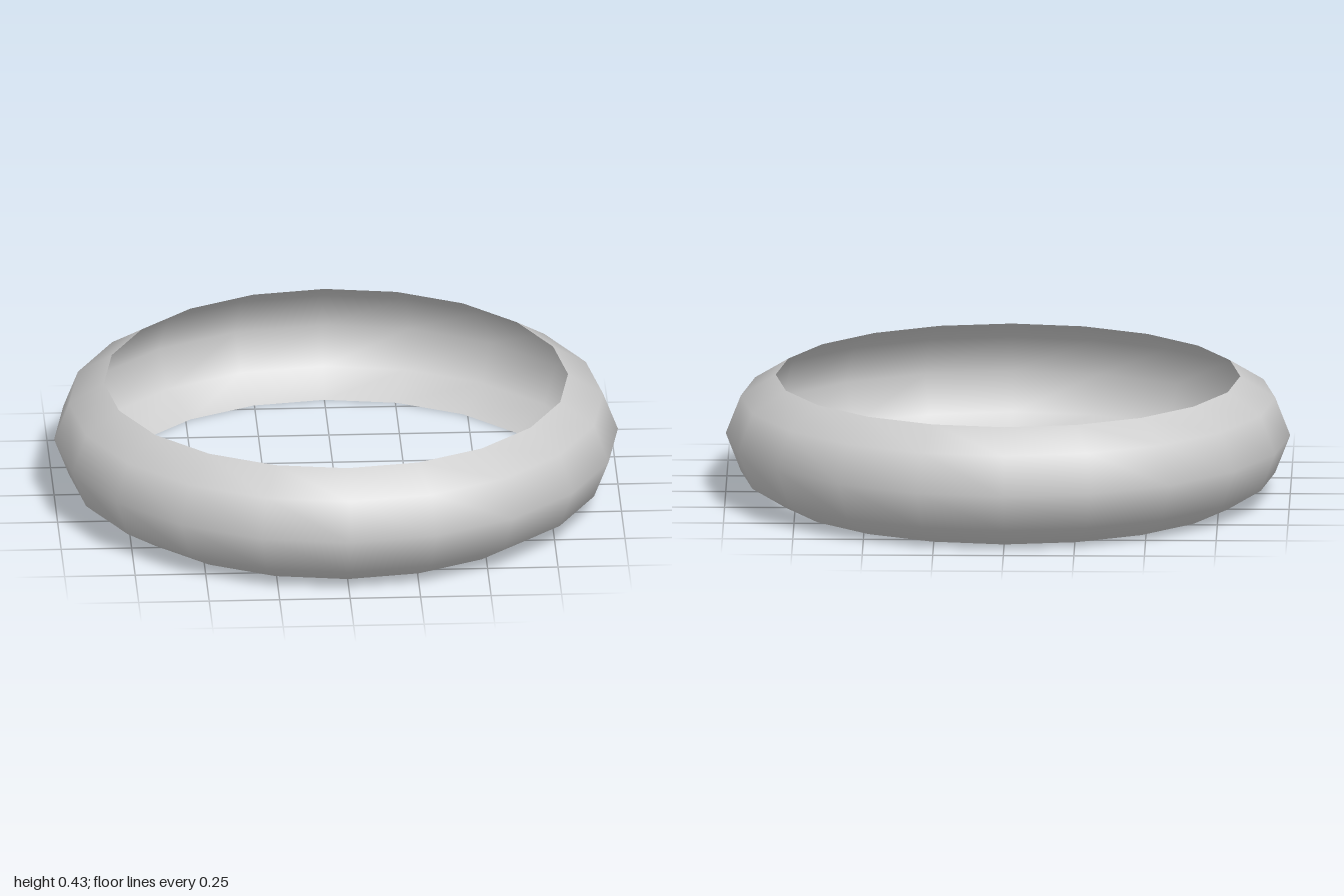
import * as THREE from 'three';

export function createModel() {
  const group = new THREE.Group();
  group.name = 'ring';

  // Bulging band: an open, thin profile swept round the vertical axis
  const profile = [
    [0.823, 0], [0.947, 0.077], [1, 0.213], [0.947, 0.349], [0.823, 0.426],
  ].map(([r, y]) => new THREE.Vector2(r, y));

  const band = new THREE.Mesh(
    new THREE.LatheGeometry(profile, 20),
    new THREE.MeshStandardMaterial({ color: 0xcccccc, side: THREE.DoubleSide })
  );
  band.name = 'band';
  group.add(band);
  return group;
}
